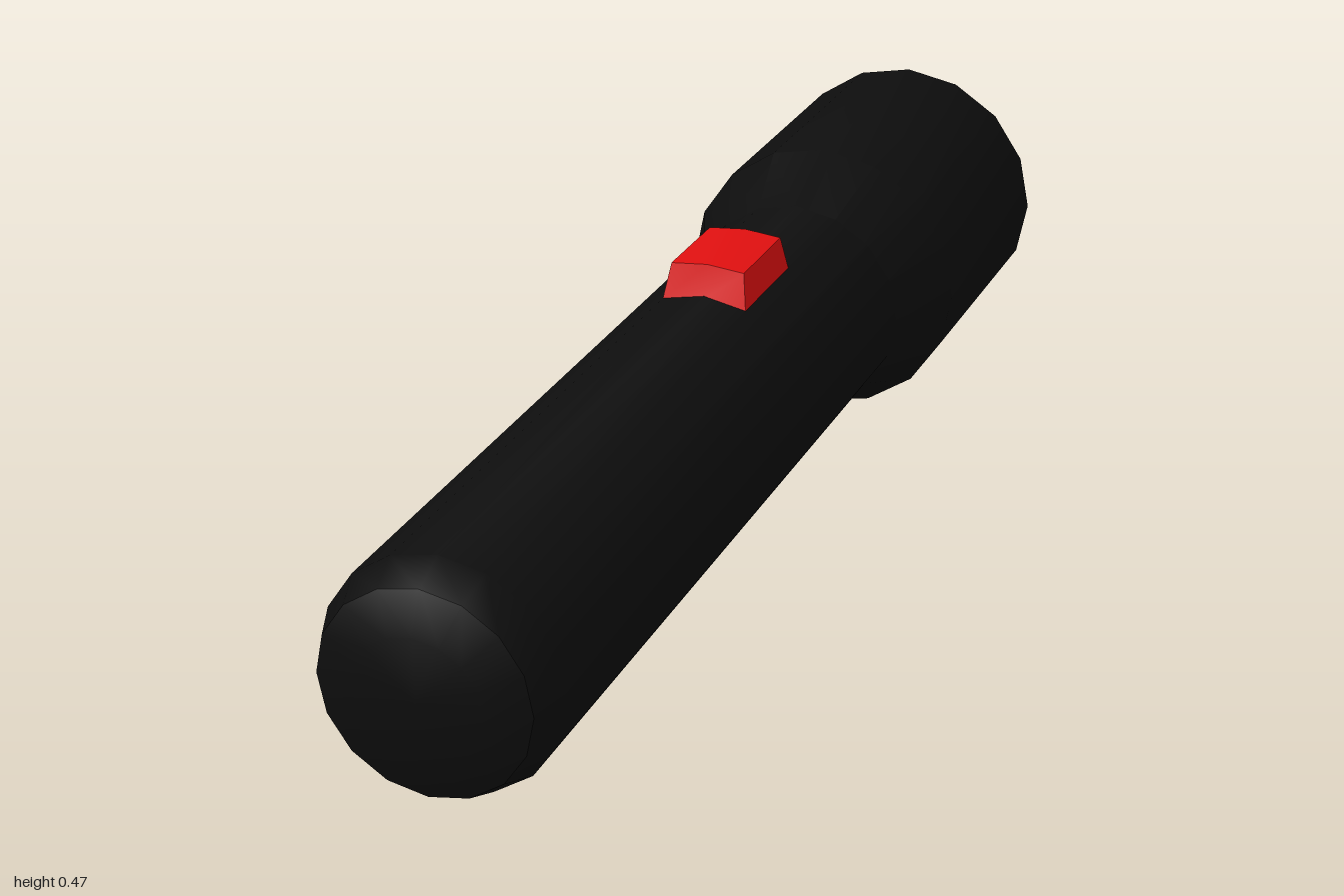
import * as THREE from 'three';
import { toCreasedNormals } from 'three/addons/utils/BufferGeometryUtils.js';

const CENTER_Y = 0.233;
const SIDES = 16;

export function createModel() {
  const group = new THREE.Group();
  const black = new THREE.MeshStandardMaterial({ name: 'black', color: 0x0d0d0d });
  const red = new THREE.MeshStandardMaterial({ name: 'red', color: 0xe01010 });
  const grey = new THREE.MeshStandardMaterial({ name: 'lens grey', color: 0xb8b8b8 });

  const add = (name, geometry, material) => {
    const mesh = new THREE.Mesh(geometry, material);
    mesh.name = name;
    group.add(mesh);
    return mesh;
  };

  // Casing: recess wall, thin rim, wide head, taper, handle, rounded tail
  const profile = [
    [0.229, -0.88], [0.23, -1], [0.233, -1], [0.233, -0.54], [0.177, -0.41],
    [0.177, 0.92], [0.155, 0.975], [0.097, 1], [0, 1],
  ].map(([r, z]) => new THREE.Vector2(r, z));
  const casing = new THREE.LatheGeometry(profile, SIDES).rotateX(Math.PI / 2);
  casing.scale(1.012, 1, 1);
  casing.translate(0, CENTER_Y, 0);
  add('casing', toCreasedNormals(casing, 0.55), black);

  // Lens, set back inside the head
  const lens = new THREE.CircleGeometry(0.23, SIDES).rotateY(Math.PI);
  lens.scale(1.012, 1, 1);
  lens.translate(0, CENTER_Y, -0.89);
  add('lens', lens, grey);

  // Switch: ridged block whose sides slope in towards the top
  const shape = new THREE.Shape([
    [-0.069, 0.395], [0, 0.405], [0.069, 0.395],
    [0.06, 0.452], [0, 0.458], [-0.06, 0.452],
  ].map(([x, y]) => new THREE.Vector2(x, y)));
  const button = new THREE.ExtrudeGeometry(shape, { depth: 0.19, bevelEnabled: false });
  button.translate(0, 0, -0.185);
  const p = button.attributes.position;
  for (let i = 0; i < p.count; i++) {
    if (p.getY(i) > 0.43) p.setZ(i, p.getZ(i) > -0.09 ? -0.01 : -0.17);
  }
  add('switch', toCreasedNormals(button, 0.4), red);

  return group;
}
